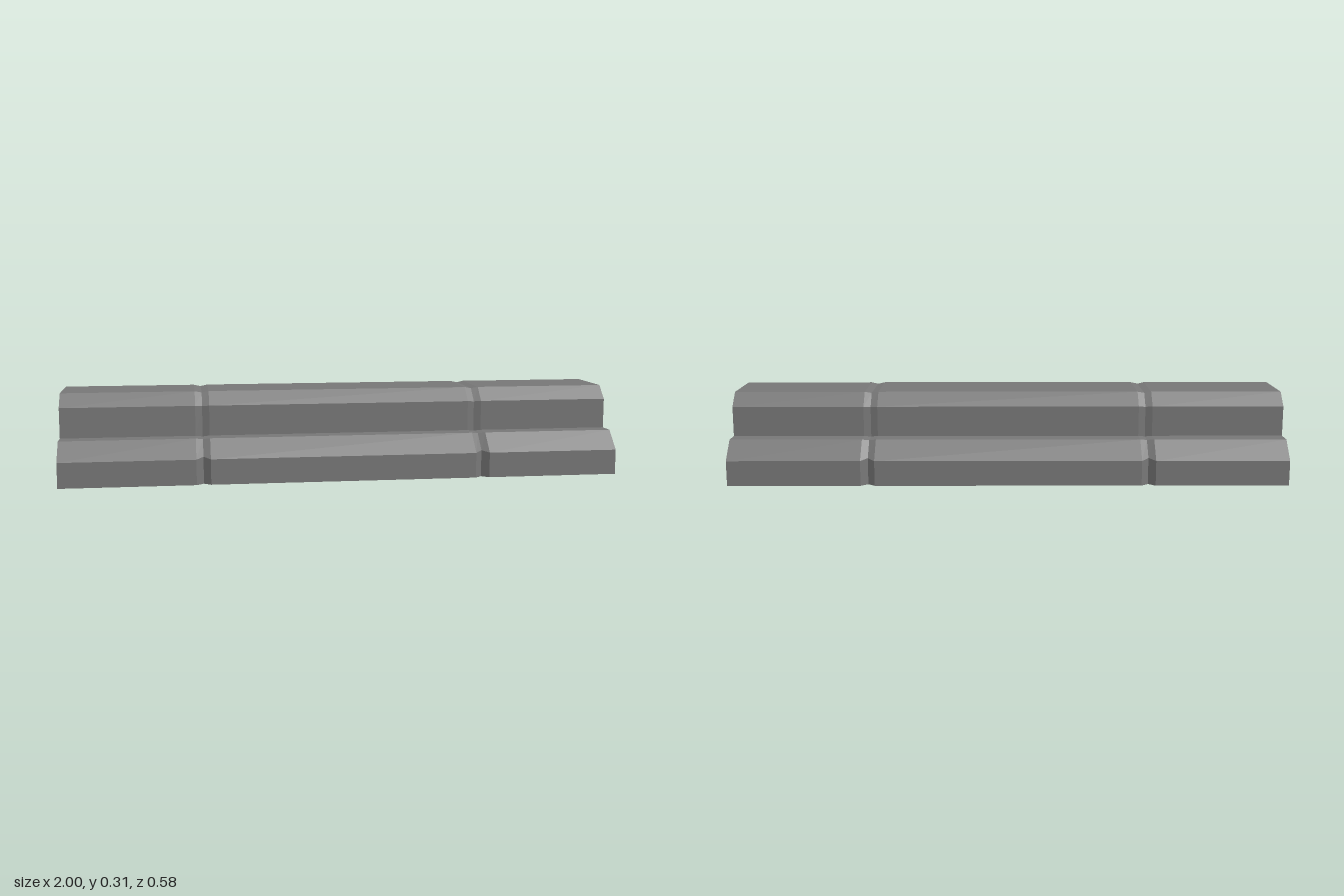
import * as THREE from 'three';

// Half profile from the floor up: [z, y] and its position at the groove bottom
const HALF = [
  { full: [0.291, 0], groove: [0.268, 0] },
  { full: [0.291, 0.09], groove: [0.268, 0.096] },
  { full: [0.225, 0.154], groove: [0.214, 0.15] },
  { full: [0.16, 0.154], groove: [0.152, 0.15] },
  { full: [0.16, 0.262], groove: [0.152, 0.26] },
  { full: [0.111, 0.309], groove: [0.107, 0.304] },
];

// Mirror the half profile to a closed section
function section(x, key) {
  const half = HALF.map((p) => p[key]);
  const back = half.slice().reverse().map(([z, y]) => [-z, y]);
  return [...half, ...back].map(([z, y]) => [x, y, z]);
}

function steppedBar() {
  const w = 0.025; // half width of each V groove
  const sections = [section(-1, 'full')];
  for (const x of [-0.5, 0.5]) {
    sections.push(section(x - w, 'full'), section(x, 'groove'), section(x + w, 'full'));
  }
  sections.push(section(1, 'full'));

  const pos = [];
  const quad = (a, b, c, d) => pos.push(...a, ...b, ...c, ...a, ...c, ...d);
  const n = sections[0].length;

  // Long faces, including the underside
  for (let s = 0; s < sections.length - 1; s++) {
    const p = sections[s], q = sections[s + 1];
    for (let i = 0; i < n; i++) {
      const j = (i + 1) % n;
      quad(p[i], q[i], q[j], p[j]);
    }
  }
  // End faces, as trapezoids between mirrored points
  const first = sections[0], last = sections[sections.length - 1];
  for (let i = 0; i < HALF.length - 1; i++) {
    if (first[i][1] === first[i + 1][1]) continue; // level ledge has no height
    const k = n - 1 - i;
    quad(last[i], last[k], last[k - 1], last[i + 1]);
    quad(first[k], first[i], first[i + 1], first[k - 1]);
  }

  const geo = new THREE.BufferGeometry();
  geo.setAttribute('position', new THREE.Float32BufferAttribute(pos, 3));
  geo.computeVertexNormals();
  return geo;
}

export function createModel() {
  const group = new THREE.Group();
  group.name = 'steppedBarrier';
  // Dark grey concrete
  const material = new THREE.MeshStandardMaterial({ color: 0x777777, flatShading: true });
  const bar = new THREE.Mesh(steppedBar(), material);
  bar.name = 'groovedBar';
  group.add(bar);
  return group;
}
